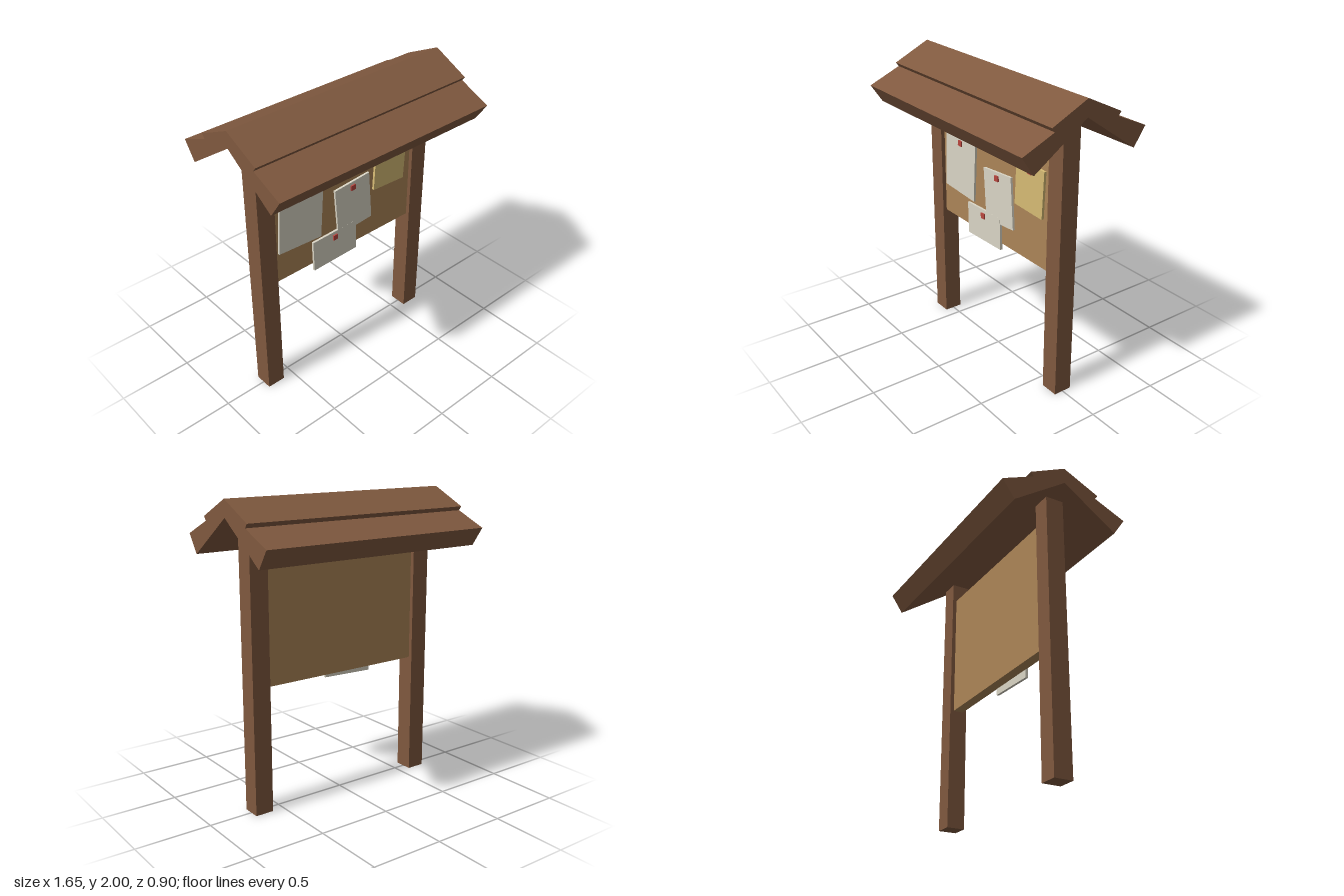
import * as THREE from 'three';

const mat = (name, color) => {
  const m = new THREE.MeshStandardMaterial({ color });
  m.name = name;
  return m;
};

export function createModel() {
  const wood = mat('brown wood', 0x80593f);
  const cork = mat('cork', 0xac8557);
  const paper = mat('white paper', 0xdad5c5);
  const yellow = mat('yellow paper', 0xd6bb74);
  const red = mat('red pin', 0xb8463e);

  const model = new THREE.Group();
  model.name = 'noticeBoard';

  const box = (name, parent, material, [w, h, d], [x, y, z]) => {
    const mesh = new THREE.Mesh(new THREE.BoxGeometry(w, h, d), material);
    mesh.name = name;
    mesh.position.set(x, y, z);
    parent.add(mesh);
    return mesh;
  };

  // Posts and the board between them
  for (const s of [1, -1]) {
    box(s > 0 ? 'leftPost' : 'rightPost', model, wood, [0.125, 1.84, 0.125], [s * 0.642, 0.92, 0]);
  }
  box('board', model, cork, [1.16, 0.88, 0.07], [0, 1.27, 0]);

  // Gabled roof: one half profile (z, y) with a plank step, mirrored at the ridge
  const half = [[0.25, 1.88], [0.23, 1.853], [0.45, 1.757], [0.368, 1.636]];
  const outline = [
    [0, 2], ...half, [0, 1.89],
    ...half.slice().reverse().map(([z, y]) => [-z, y]),
  ];
  const shape = new THREE.Shape(outline.map(([z, y]) => new THREE.Vector2(z, y)));
  const roofLength = 1.65;
  const roofGeometry = new THREE.ExtrudeGeometry(shape, { depth: roofLength, bevelEnabled: false });
  roofGeometry.translate(0, 0, -roofLength / 2);
  roofGeometry.rotateY(-Math.PI / 2);
  const roof = new THREE.Mesh(roofGeometry, wood);
  roof.name = 'roof';
  model.add(roof);

  // Pinned notices: centre, size, tilt in degrees, pin position
  const notices = [
    ['largeNotice', paper, -0.37, 1.238, 0.34, 0.405, -3.6, -0.36, 1.4],
    ['middleNotice', paper, 0.066, 1.148, 0.292, 0.356, 4.6, 0.055, 1.285],
    ['lowNotice', paper, -0.095, 0.894, 0.365, 0.225, 1.7, -0.098, 0.965],
    ['yellowNotice', yellow, 0.385, 1.332, 0.27, 0.316, -2.7, 0.394, 1.447],
  ];
  notices.forEach(([name, material, x, y, w, h, tilt, px, py], i) => {
    const group = new THREE.Group();
    group.name = name;
    const angle = THREE.MathUtils.degToRad(tilt);
    const front = 0.05 + i * 0.0005;
    box('sheet', group, material, [w, h, 0.018], [x, y, front - 0.009]).rotation.z = angle;
    box('pin', group, red, [0.037, 0.037, 0.02], [px, py, front]).rotation.z = angle;
    model.add(group);
  });

  return model;
}
